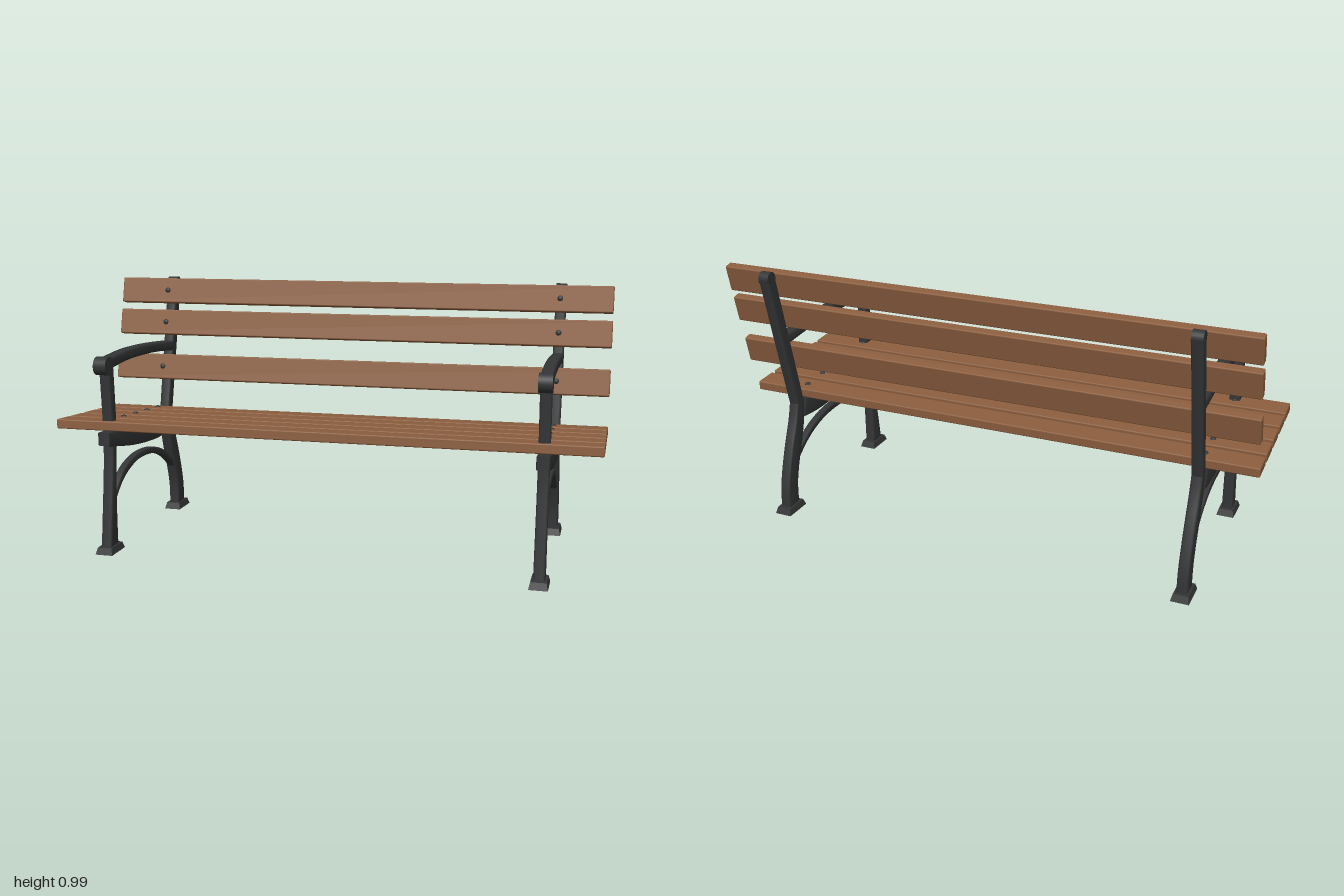
import * as THREE from 'three';
import { toCreasedNormals } from 'three/addons/utils/BufferGeometryUtils.js';
import { RoundedBoxGeometry } from 'three/addons/geometries/RoundedBoxGeometry.js';

const wood = new THREE.MeshStandardMaterial({ color: 0x8b5e3f });
wood.name = 'wood';
const iron = new THREE.MeshStandardMaterial({ color: 0x343536 });
iron.name = 'cast iron';

function add(parent, name, geometry, material, position = [0, 0, 0], tilt = 0) {
  const mesh = new THREE.Mesh(geometry, material);
  mesh.name = name;
  mesh.position.set(...position);
  mesh.rotation.x = tilt;
  parent.add(mesh);
  return mesh;
}

// Smooth curve through [z, y] points
function spline(points, n = 20) {
  return new THREE.SplineCurve(points.map(p => new THREE.Vector2(...p))).getPoints(n);
}

// Side profile between two edges, given as [z, y] points, extruded across x
function casting(edgeA, edgeB, width, bevel = 0.006) {
  let outline = [...spline(edgeA), ...spline(edgeB).reverse()];
  if (THREE.ShapeUtils.area(outline) < 0) outline = outline.reverse();
  const geometry = new THREE.ExtrudeGeometry(new THREE.Shape(outline), {
    depth: width - 2 * bevel, bevelEnabled: true, bevelThickness: bevel,
    bevelSize: bevel, bevelOffset: -bevel, bevelSegments: 3,
  });
  geometry.translate(0, 0, bevel - width / 2);
  geometry.rotateY(-Math.PI / 2);
  return toCreasedNormals(geometry, 0.6);
}

// Tapered rectangular foot pad
function footPad() {
  const geometry = new THREE.CylinderGeometry(0.82 * Math.SQRT1_2, Math.SQRT1_2, 0.025, 4);
  geometry.rotateY(Math.PI / 4);
  geometry.scale(0.067, 1, 0.114);
  return toCreasedNormals(geometry, 0.5);
}

// One cast side frame, centred on x = 0
function createFrame() {
  const frame = new THREE.Group();

  add(frame, 'frontLeg', casting(
    [[0.368, 0.02], [0.347, 0.165], [0.328, 0.3], [0.32, 0.4], [0.32, 0.5], [0.332, 0.7]],
    [[0.3, 0.02], [0.3, 0.165], [0.294, 0.3], [0.284, 0.4], [0.28, 0.5], [0.289, 0.7]], 0.04), iron);
  add(frame, 'backLeg', casting(
    [[-0.3, 0.02], [-0.298, 0.1], [-0.279, 0.178], [-0.246, 0.268], [-0.22, 0.36], [-0.208, 0.435]],
    [[-0.368, 0.02], [-0.366, 0.09], [-0.35, 0.165], [-0.318, 0.262], [-0.278, 0.362], [-0.258, 0.435]], 0.04), iron);
  add(frame, 'backPost', casting(
    [[-0.212, 0.41], [-0.343, 0.966]],
    [[-0.257, 0.41], [-0.391, 0.958]], 0.04), iron);
  const cap = add(frame, 'postCap', new THREE.CylinderGeometry(0.025, 0.025, 0.04, 24), iron, [0, 0.96, -0.366]);
  cap.rotation.z = Math.PI / 2;

  add(frame, 'seatRail', casting(
    [[0.355, 0.459], [0.08, 0.446], [-0.21, 0.432]],
    [[0.355, 0.409], [0.284, 0.394], [0.12, 0.366], [-0.04, 0.351], [-0.14, 0.35], [-0.225, 0.358]], 0.046), iron);

  add(frame, 'armrest', casting(
    [[0.337, 0.732], [0.17, 0.744], [0.02, 0.744], [-0.14, 0.736], [-0.3, 0.724]],
    [[0.337, 0.687], [0.17, 0.702], [0.02, 0.703], [-0.14, 0.697], [-0.29, 0.683]], 0.044, 0.01), iron);
  const scroll = add(frame, 'armScroll', new THREE.CylinderGeometry(0.034, 0.034, 0.048, 28), iron, [0, 0.705, 0.337]);
  scroll.rotation.z = Math.PI / 2;

  add(frame, 'archBrace', casting(
    [[0.308, 0.205], [0.225, 0.283], [0.12, 0.319], [0.023, 0.326], [-0.076, 0.316], [-0.18, 0.282], [-0.285, 0.215]],
    [[0.308, 0.175], [0.225, 0.25], [0.12, 0.291], [0.023, 0.3], [-0.089, 0.287], [-0.193, 0.248], [-0.29, 0.18]], 0.028, 0.005), iron);

  for (const z of [0.334, -0.334]) add(frame, 'footPad', footPad(), iron, [0, 0.0125, z]);
  return frame;
}

export function createModel() {
  const bench = new THREE.Group();
  bench.name = 'parkBench';

  for (const side of [-1, 1]) {
    const frame = createFrame();
    frame.name = side > 0 ? 'leftFrame' : 'rightFrame';
    frame.position.x = side * 0.8;
    bench.add(frame);
  }

  const boltHead = new THREE.SphereGeometry(0.011, 14, 10);

  // Seat slats, sloping gently down to the back
  const seatSlat = new RoundedBoxGeometry(2, 0.036, 0.092, 2, 0.005);
  for (let i = 0; i < 5; i++) {
    const slat = add(bench, 'seatSlat', seatSlat, wood, [0, 0.476 - i * 0.0069, 0.285 - i * 0.1093], -0.063);
    for (const x of [-0.8, 0.8]) add(slat, 'seatBolt', boltHead, iron, [x, 0.018, 0]).scale.y = 0.6;
  }

  // Backrest slats, leaning with the posts
  const backSlat = new RoundedBoxGeometry(2, 0.102, 0.035, 2, 0.005);
  for (const [y, z] of [[0.929, -0.312], [0.801, -0.281], [0.622, -0.235]]) {
    const slat = add(bench, 'backSlat', backSlat, wood, [0, y, z], -0.232);
    for (const x of [-0.8, 0.8]) add(slat, 'backBolt', boltHead, iron, [x, 0, 0.0175]).scale.z = 0.6;
  }
  return bench;
}
